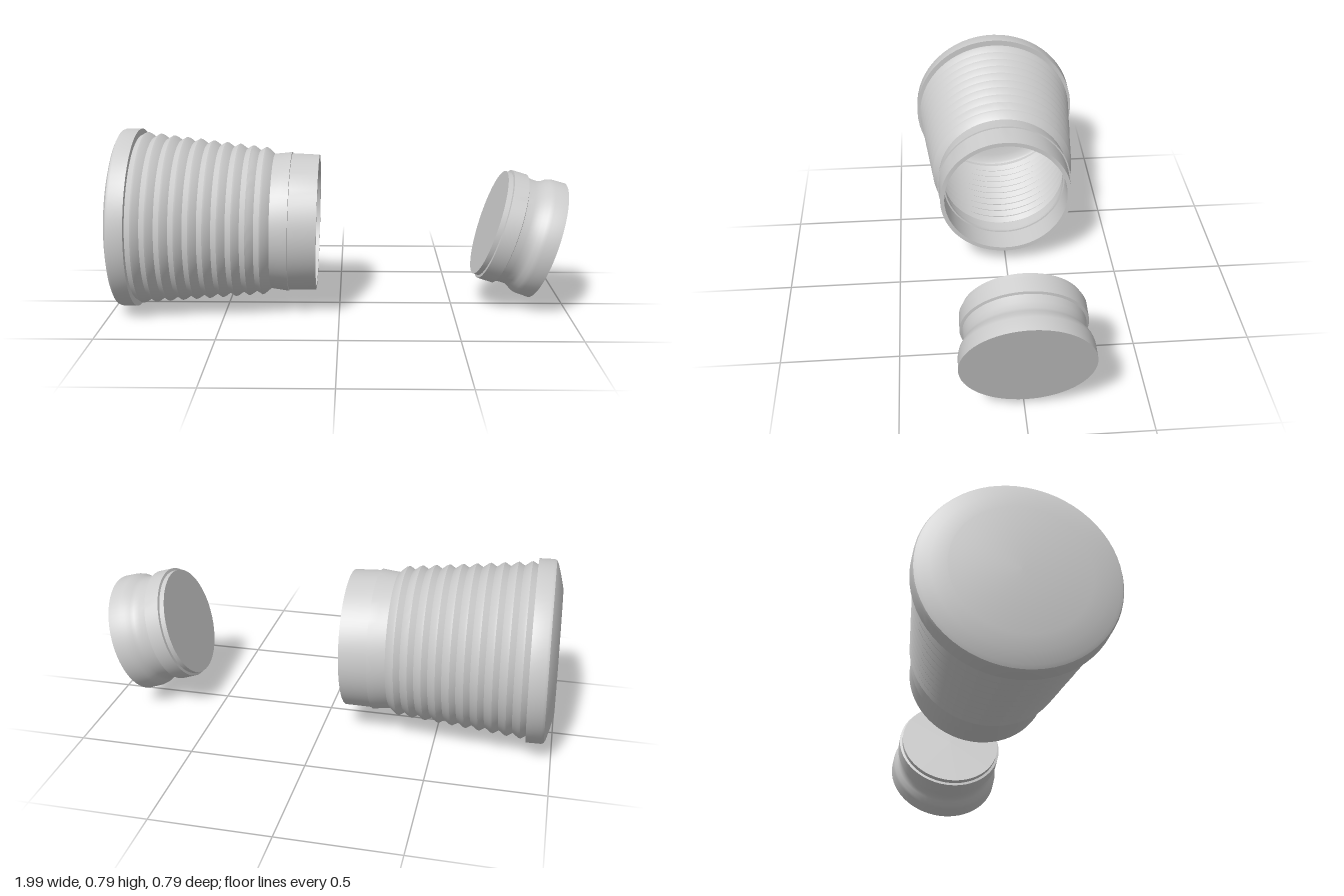
import * as THREE from 'three';
import { toCreasedNormals } from 'three/addons/utils/BufferGeometryUtils.js';

const lightGrey = new THREE.MeshStandardMaterial({ color: 0xcccccc });
lightGrey.name = 'lightGrey';

// Turns a [radius, distance along axis] profile into a lying solid of revolution
function turned(name, profile) {
  const points = profile.map(([r, s]) => new THREE.Vector2(r, s));
  const geometry = new THREE.LatheGeometry(points, 64);
  geometry.rotateZ(-Math.PI / 2); // axis now runs along +x
  const mesh = new THREE.Mesh(toCreasedNormals(geometry, 0.62), lightGrey);
  mesh.name = name;
  return mesh;
}

// Stack of shallow ridges that narrows towards the neck
function ridges(inset) {
  const points = [];
  const count = 10, start = 0.108, pitch = 0.0585;
  for (let i = 0; i < count; i++) {
    const peak = 0.38 - 0.0058 * i - inset;
    const s = start + i * pitch;
    points.push([peak - 0.015, s], [peak, s + pitch * 0.42], [peak - 0.003, s + pitch * 0.58]);
  }
  return points;
}

export function createModel() {
  const model = new THREE.Group();
  model.name = 'jarAndStopper';

  // Jar: closed rounded base at -x, ribbed body, open neck at +x
  const jar = new THREE.Group();
  jar.name = 'jar';
  jar.add(turned('jarOuterShell', [
    [0, 0], [0.27, 0], [0.33, 0.014], [0.375, 0.027], [0.389, 0.034], [0.394, 0.045],
    [0.394, 0.108], ...ridges(0),
    [0.299, 0.698], [0.304, 0.74], [0.309, 0.775], [0.303, 0.776], [0.3, 0.896],
  ]));
  jar.add(turned('jarRim', [[0.3, 0.896], [0.281, 0.896]]));
  jar.add(turned('jarInnerWall', [
    [0.281, 0.896], [0.281, 0.778], [0.274, 0.777], [0.274, 0.765], [0.288, 0.764], [0.284, 0.698],
    ...ridges(0.015).reverse(),
    [0.376, 0.1], [0.376, 0.048], [0.365, 0.04], [0.33, 0.03], [0.27, 0.018], [0, 0.018],
  ]));
  jar.position.set(-0.992, 0.398, 0);
  jar.rotation.z = -0.0244;
  model.add(jar);

  // Stopper: plug end, collar, waist and flared head, tilted downwards
  const stopper = turned('stopper', [
    [0, 0], [0.239, 0], [0.239, 0.022], [0.251, 0.024], [0.252, 0.09],
    [0.241, 0.094], [0.238, 0.125], [0.239, 0.152], [0.246, 0.168], [0.259, 0.187],
    [0.264, 0.205], [0.266, 0.264], [0, 0.264],
  ]);
  stopper.position.set(0.6625, 0.3775, -0.004);
  stopper.rotation.z = -0.309;
  model.add(stopper);

  return model;
}
